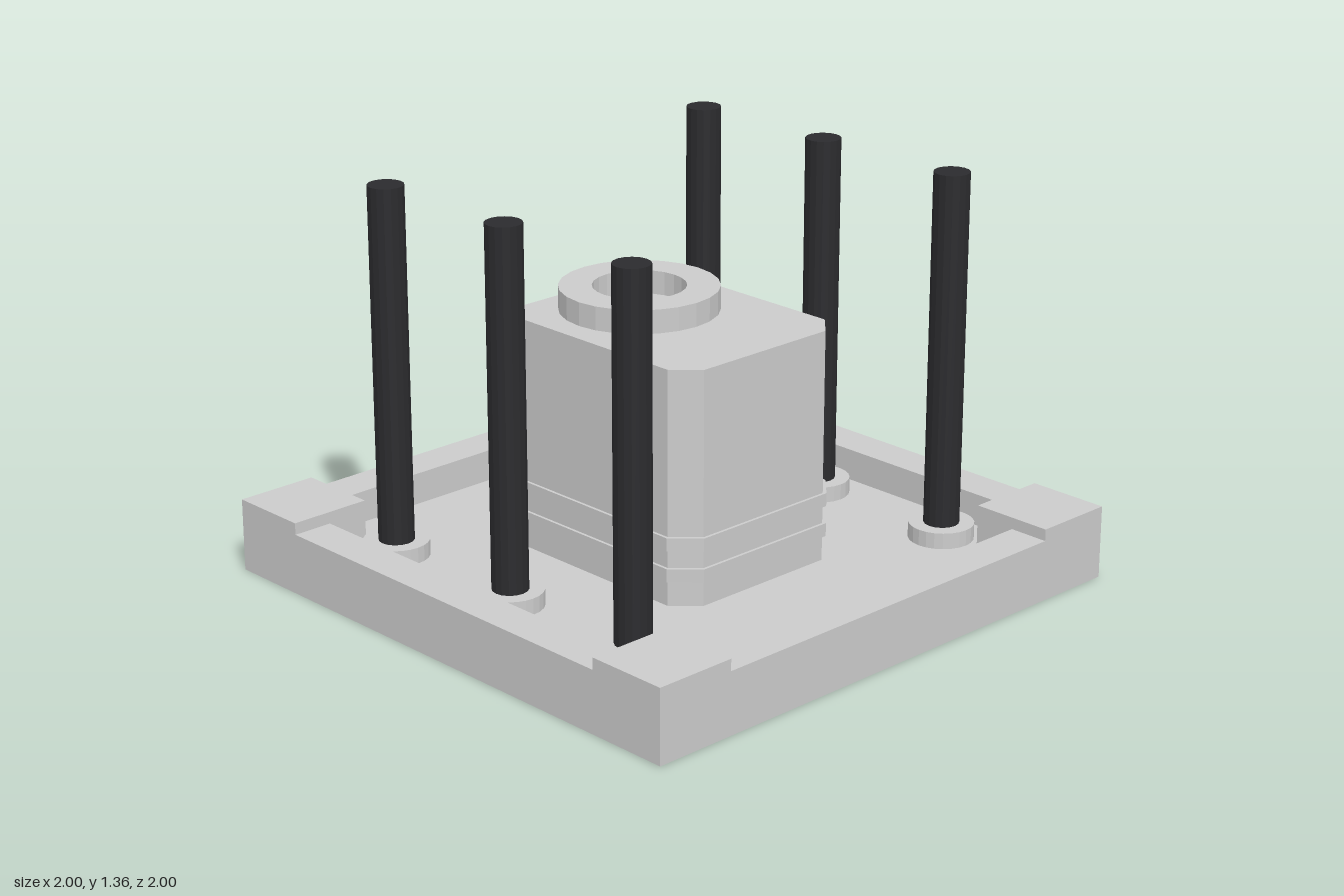
import * as THREE from 'three';

const FLOOR = 0.1;

export function createModel() {
  const root = new THREE.Group();
  const grey = new THREE.MeshStandardMaterial({ color: 0xcccccc, flatShading: true });
  const dark = new THREE.MeshStandardMaterial({ color: 0x2b2b2e, flatShading: true });

  const add = (name, geo, x, y, z, mat = grey, parent = root) => {
    const mesh = new THREE.Mesh(geo, mat);
    mesh.name = name;
    mesh.position.set(x, y, z);
    parent.add(mesh);
    return mesh;
  };
  // Box placed by its underside
  const box = (name, w, h, d, x, y, z, parent) =>
    add(name, new THREE.BoxGeometry(w, h, d), x, y + h / 2, z, grey, parent);
  // Cylinder placed by its underside
  const rod = (name, r, h, sides, x, y, z, mat, parent) =>
    add(name, new THREE.CylinderGeometry(r, r, h, sides), x, y + h / 2, z, mat, parent);
  // Upright prism on a rectangle with cut corners
  const chamferedPrism = (name, hx, hz, cut, y0, y1, parent) => {
    const shape = new THREE.Shape([
      [hx, -hz + cut], [hx, hz - cut], [hx - cut, hz], [-hx + cut, hz],
      [-hx, hz - cut], [-hx, -hz + cut], [-hx + cut, -hz], [hx - cut, -hz],
    ].map(([x, z]) => new THREE.Vector2(x, z)));
    const geo = new THREE.ExtrudeGeometry(shape, { depth: y1 - y0, bevelEnabled: false });
    geo.rotateX(-Math.PI / 2);
    return add(name, geo, 0, y0, 0, grey, parent);
  };

  // Tray: floor, low side walls and raised corner blocks
  const tray = new THREE.Group();
  tray.name = 'tray';
  root.add(tray);
  const corner = 0.287, inner = 1 - corner, wall = 0.14;
  box('trayFloor', 2, FLOOR, 2, 0, 0, 0, tray);
  for (const s of [-1, 1]) {
    box('sideWall', wall, 0.21 - FLOOR, 2 * inner, s * (1 - wall / 2), FLOOR, 0, tray);
    box('endWall', 2 * inner, 0.21 - FLOOR, wall, 0, FLOOR, s * (1 - wall / 2), tray);
    for (const t of [-1, 1]) {
      box('cornerBlock', corner, 0.25 - FLOOR, corner,
        s * (1 - corner / 2), FLOOR, t * (1 - corner / 2), tray);
    }
  }

  // Central housing with two bands
  const housing = new THREE.Group();
  housing.name = 'housing';
  root.add(housing);
  chamferedPrism('housingBody', 0.35, 0.43, 0.08, FLOOR, 0.89, housing);
  for (const y of [0.185, 0.29]) {
    chamferedPrism('housingBand', 0.36, 0.44, 0.083, y, y + 0.045, housing);
  }

  // Ring on top of the housing, open in the middle
  const ringProfile = [
    [0.155, 0], [0.265, 0], [0.265, 0.08], [0.155, 0.08], [0.155, 0],
  ].map(([r, y]) => new THREE.Vector2(r, y));
  add('topRing', new THREE.LatheGeometry(ringProfile, 24), 0, 0.89, -0.147, grey, housing);

  // Six posts standing in round collars
  for (const x of [-0.7, 0.7]) {
    for (const z of [-0.567, 0, 0.567]) {
      const post = new THREE.Group();
      post.name = 'post';
      root.add(post);
      rod('postCollar', 0.11, 0.055, 24, x, FLOOR, z, grey, post);
      rod('postRod', 0.06, 1.36 - FLOOR, 16, x, FLOOR, z, dark, post);
    }
  }
  return root;
}
